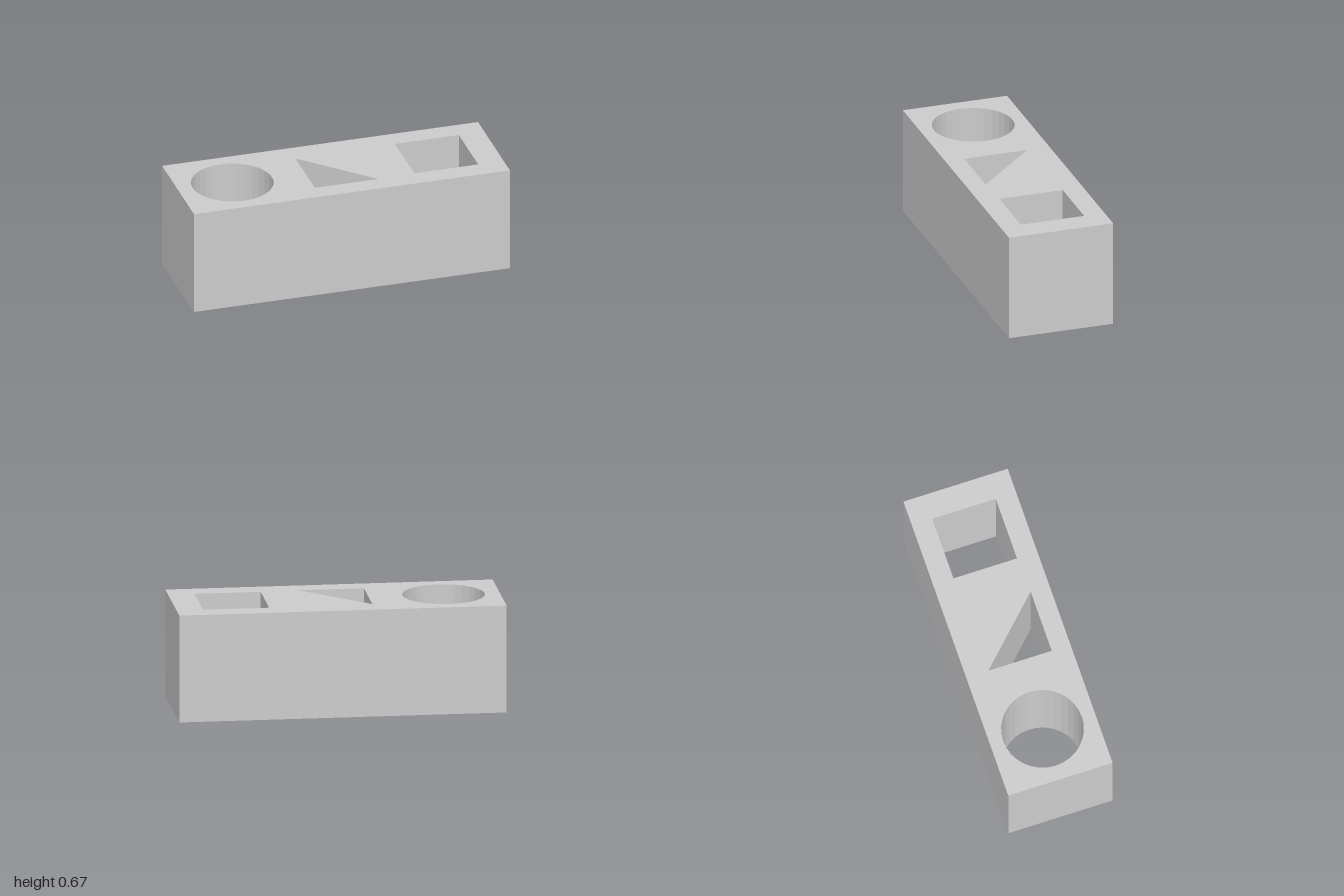
import * as THREE from 'three';

const LENGTH = 2, HEIGHT = 0.667, DEPTH = 0.667;

// Plan outlines are given as [x, z]; the shape plane's y is -z
const toPlan = (points) => points.map(([x, z]) => new THREE.Vector2(x, -z));

const rectangle = (x0, x1, z0, z1) => toPlan([[x0, z0], [x0, z1], [x1, z1], [x1, z0]]);

export function createModel() {
  const model = new THREE.Group();
  model.name = 'shapeSorterBlock';

  // Solid block outline
  const plan = new THREE.Shape(rectangle(-LENGTH / 2, LENGTH / 2, -DEPTH / 2, DEPTH / 2));

  // Round, triangular and square holes, all going right through
  const roundHole = new THREE.Path().absarc(-0.657, 0, 0.251, 0, Math.PI * 2, true);
  const triangleHole = new THREE.Path(toPlan([[-0.198, -0.192], [-0.198, 0.213], [0.205, 0.213]]));
  const squareHole = new THREE.Path(rectangle(0.434, 0.839, -0.203, 0.203));
  plan.holes.push(roundHole, triangleHole, squareHole);

  // Extrude upwards from the ground
  const geometry = new THREE.ExtrudeGeometry(plan, {
    depth: HEIGHT,
    bevelEnabled: false,
    curveSegments: 16,
  });
  geometry.rotateX(-Math.PI / 2);

  const block = new THREE.Mesh(
    geometry,
    new THREE.MeshStandardMaterial({ color: 0xcccccc, flatShading: true }),
  );
  block.name = 'blockWithHoles';
  model.add(block);
  return model;
}
